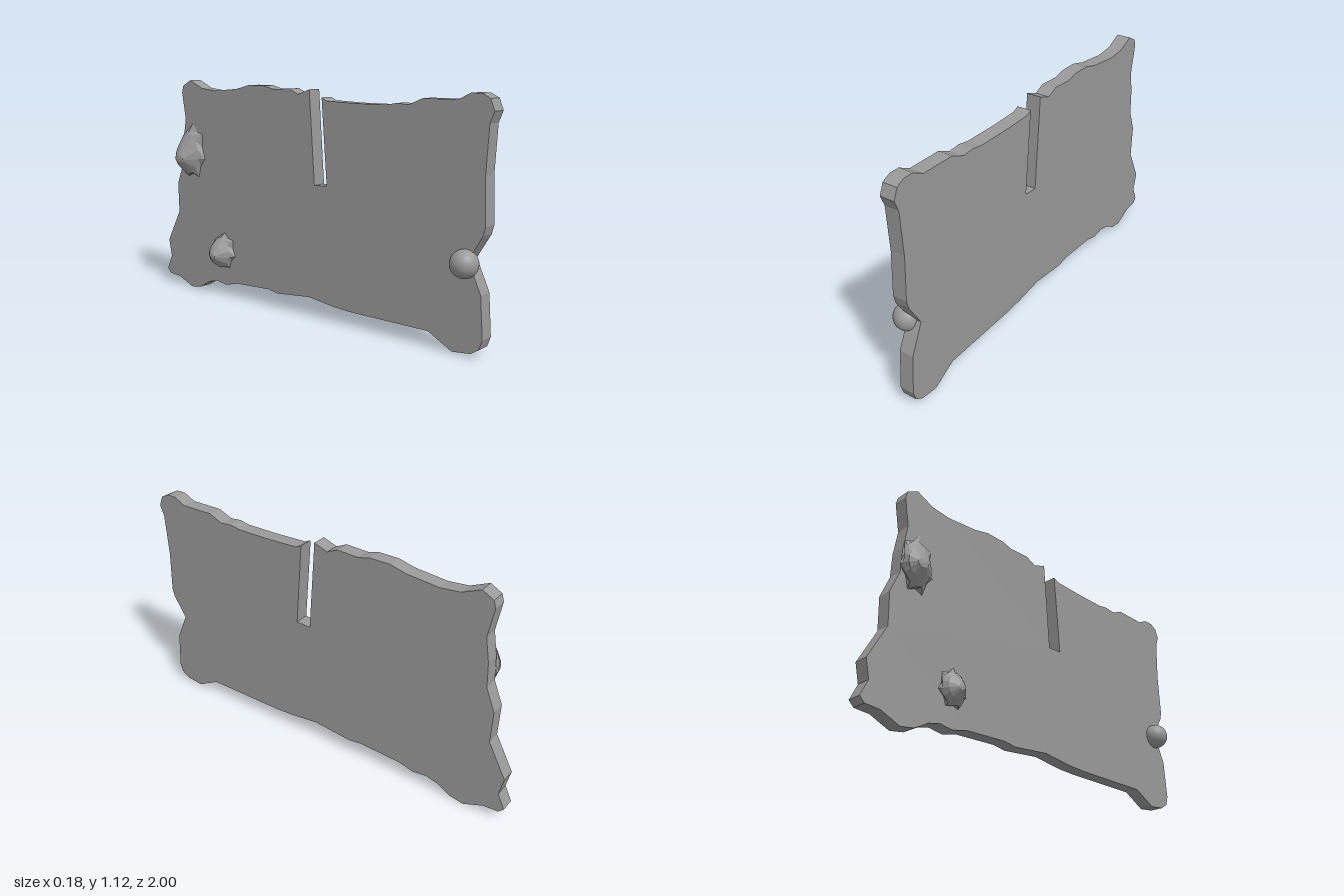
import * as THREE from 'three';

const stone = new THREE.MeshStandardMaterial({ color: 0x999999 });
stone.name = 'stone grey';
const rough = new THREE.MeshStandardMaterial({ color: 0x999999, flatShading: true, side: THREE.DoubleSide });
rough.name = 'rough stone grey';

// Outline of the slab as [z, y], one list per side
const topEdge = [
  [1, 1.04], [0.98, 1.09], [0.94, 1.11], [0.89, 1.11], [0.83, 1.08], [0.66, 1.08], [0.59, 1.05],
  [0.53, 1.055], [0.47, 1.045], [0.3, 1.045], [0.14, 1.05], [0.11, 1.065], [0.145, 0.655],
  [0.07, 0.65], [0.035, 1.1], [-0.035, 1.075], [-0.09, 1.1], [-0.2, 1.095], [-0.26, 1.11],
  [-0.36, 1.11], [-0.44, 1.09], [-0.6, 1.075], [-0.7, 1.085], [-0.79, 1.125],
];
const backEdge = [
  [-0.845, 1.095], [-0.855, 1.06], [-0.83, 0.92], [-0.85, 0.8], [-0.855, 0.68], [-0.9, 0.57],
  [-0.895, 0.41], [-0.985, 0.24], [-0.965, 0.15], [-1, 0.075], [-0.975, 0.05],
];
const bottomEdge = [
  [-0.9, 0.045], [-0.8, 0.003], [-0.73, 0.015], [-0.66, 0.055], [-0.6, 0.07], [-0.53, 0.06],
  [-0.45, 0.08], [-0.23, 0.09], [-0.16, 0.08], [0.04, 0.1], [0.2, 0.08], [0.3, 0.075],
  [0.72, 0.075], [0.84, 0.01], [0.93, 0.02],
];
const frontEdge = [
  [0.97, 0.045], [0.985, 0.09], [0.97, 0.28], [0.905, 0.42], [0.97, 0.53], [0.98, 0.57],
  [0.97, 0.78], [0.98, 0.99],
];

// Slab extruded across x, then leaned slightly
function slabGeometry() {
  const outline = [...topEdge, ...backEdge, ...bottomEdge, ...frontEdge];
  const shape = new THREE.Shape(outline.map(([z, y]) => new THREE.Vector2(-z, y)));
  const geo = new THREE.ExtrudeGeometry(shape, { depth: 0.071, bevelEnabled: false });
  geo.rotateY(Math.PI / 2);
  const p = geo.attributes.position;
  for (let i = 0; i < p.count; i++) {
    p.setX(i, p.getX(i) + 0.0025 + 0.0125 * p.getZ(i) + 0.007 * (p.getY(i) - 0.55));
  }
  geo.computeVertexNormals();
  return geo;
}

// Faceted lump with a ragged rim; rings are [x, yTop, yBottom, zMin, zMax] from rim to peak
function lumpGeometry(rings, sides = 14) {
  const point = (k, j) => {
    const [x, y1, y0, z0, z1] = rings[k];
    const a = (j % sides) / sides * Math.PI * 2;
    const r = k === 0 && j % 2 ? 0.78 : 1;
    return [x, (y0 + y1) / 2 + Math.cos(a) * r * (y1 - y0) / 2, (z0 + z1) / 2 + Math.sin(a) * r * (z1 - z0) / 2];
  };
  const [x, y1, y0, z0, z1] = rings[rings.length - 1];
  const peak = [x - 0.003, (y0 + y1) / 2, (z0 + z1) / 2];
  const v = [];
  for (let j = 0; j < sides; j++) {
    for (let k = 0; k < rings.length - 1; k++) {
      const a = point(k, j), b = point(k, j + 1), c = point(k + 1, j), d = point(k + 1, j + 1);
      v.push(...a, ...c, ...b, ...b, ...c, ...d);
    }
    v.push(...point(rings.length - 1, j), ...peak, ...point(rings.length - 1, j + 1));
  }
  const geo = new THREE.BufferGeometry();
  geo.setAttribute('position', new THREE.Float32BufferAttribute(v, 3));
  geo.computeVertexNormals();
  return geo;
}

export function createModel() {
  const group = new THREE.Group();
  const add = (name, geo, mat) => {
    const mesh = new THREE.Mesh(geo, mat);
    mesh.name = name;
    group.add(mesh);
    return mesh;
  };

  add('slab', slabGeometry(), stone);

  // Round knob in the notch of the front edge
  add('knob', new THREE.SphereGeometry(0.0625, 32, 24), stone).position.set(0, 0.405, 0.894);

  // Two lumps on the -x face
  add('upperLump', lumpGeometry([
    [-0.006, 0.9, 0.6, -0.862, -0.68],
    [-0.03, 0.85, 0.628, -0.86, -0.71],
    [-0.06, 0.79, 0.66, -0.853, -0.74],
    [-0.087, 0.735, 0.695, -0.825, -0.77],
  ]), rough);
  add('lowerLump', lumpGeometry([
    [-0.006, 0.34, 0.148, -0.62, -0.46],
    [-0.03, 0.31, 0.155, -0.618, -0.485],
    [-0.06, 0.28, 0.178, -0.605, -0.51],
    [-0.087, 0.24, 0.21, -0.57, -0.535],
  ]), rough);

  return group;
}
